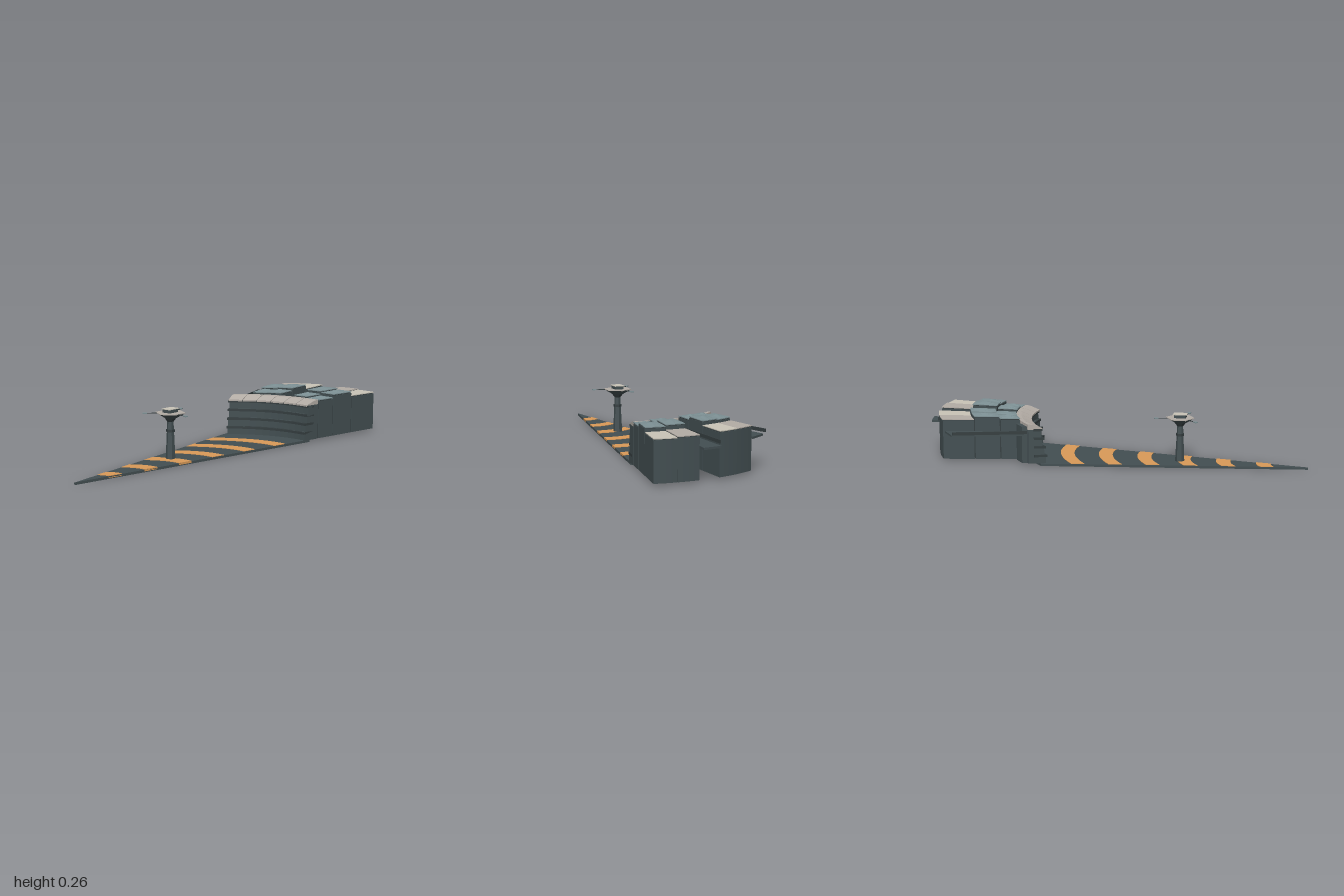
import * as THREE from 'three';

const CX = -0.55, CZ = 0.285;      // focus of the building rays
const APEX = -1, RATIO = 0.555;    // tip of the floor wedge, ellipse ratio of its stripes
const rad = THREE.MathUtils.degToRad;

const paint = (color) => new THREE.MeshStandardMaterial({ color, flatShading: true, side: THREE.DoubleSide });
const MAT = {
  dark: paint(0x434f52), trim: paint(0x353e40), orange: paint(0xd99a58),
  beige: paint(0xc9c4b7), stone: paint(0xb3aca5), slate: paint(0x7c8f93),
};

// Point on the flattened arc of nominal radius r at angle p (degrees)
function polar(r, p) {
  const a = rad(p), q = r * (1 - 0.49 * a * a);
  return [CX + q * Math.cos(a), CZ - q * Math.sin(a)];
}

function add(parent, name, geometry, material) {
  const m = new THREE.Mesh(geometry, material);
  m.name = name;
  parent.add(m);
  return m;
}

// Sweep a closed (radius, height) profile from angle p0 to p1.
// Anything above the eave height rises to a peak in mid sweep.
function sweep(profile, p0, p1, eave = Infinity, steps = 4) {
  const shape = new THREE.Shape(profile.map(([r, y]) => new THREE.Vector2(r, y)));
  const g = new THREE.ExtrudeGeometry(shape, { depth: 1, steps, bevelEnabled: false });
  const pos = g.attributes.position;
  for (let i = 0; i < pos.count; i++) {
    const s = pos.getZ(i);
    let y = pos.getY(i);
    if (y > eave) y = eave + (y - eave) * (1 - Math.abs(2 * s - 1));
    const [x, z] = polar(pos.getX(i), p1 + (p0 - p1) * s);
    pos.setXYZ(i, x, y, z);
  }
  g.computeVertexNormals();
  return g;
}

const rect = (r0, r1, y0, y1) => [[r0, y0], [r1, y0], [r1, y1], [r0, y1]];

// Flat plate from plan points [x, z], between two heights
function plate(points, y0, y1) {
  const shape = new THREE.Shape(points.map(([x, z]) => new THREE.Vector2(x, -z)));
  const g = new THREE.ExtrudeGeometry(shape, { depth: y1 - y0, bevelEnabled: false });
  return g.rotateX(-Math.PI / 2).translate(0, y0, 0);
}

function buildFloor(root) {
  const outline = [[APEX, CZ]];
  for (let i = 0; i <= 16; i++) outline.push(polar(1.03, 26.3 * i / 16));
  add(root, 'floor', plate(outline, 0, 0.012), MAT.dark);

  // Curved stripes across the wedge
  const tMax = Math.atan(0.315 / RATIO);
  const arc = (a, k) => {
    const t = tMax * k / 12;
    return [APEX + a * Math.cos(t), CZ - RATIO * a * Math.sin(t)];
  };
  for (let n = 0; n < 6; n++) {
    const a = 0.265 + 0.208 * n, pts = [];
    for (let k = 0; k <= 12; k++) pts.push(arc(a, k));
    for (let k = 12; k >= 0; k--) pts.push(arc(a - 0.075, k));
    add(root, 'floorStripe', plate(pts, 0.004, 0.0145), MAT.orange);
  }
}

function buildTerrace(root) {
  const g = new THREE.Group();
  g.name = 'innerTerrace';
  root.add(g);
  // Stepped wall leaning away from the floor, with a ledge over each tier
  for (let i = 0; i < 4; i++) {
    const r = 0.985 + 0.009 * i, y = 0.01 + 0.045 * i;
    add(g, 'tierWall', sweep(rect(r + 0.008, 1.09, y, y + 0.045), 0, 25.4, Infinity, 12), MAT.dark);
    add(g, 'tierLedge', sweep(rect(r, 1.06, y + 0.033, y + 0.045), 0, 25.6, Infinity, 12), MAT.trim);
  }
  // Sloping hood panels, one for each bay
  for (let i = 0; i < 6; i++) {
    const p = 0.1 + 4.26 * i;
    add(g, 'hoodPanel', sweep([[1.01, 0.185], [1.092, 0.185], [1.092, 0.213], [1.065, 0.211], [1.01, 0.193]],
      p, p + 4.06), MAT.stone);
  }
}

function buildBlocks(root) {
  // Rows from the inside out: radii, height, roof peak and roof colour
  const rows = [
    { r0: 1.095, r1: 1.2, h: [0.213, 0.222, 0.226, 0.224], peak: 0.012, roof: MAT.slate },
    { r0: 1.206, r1: 1.34, h: [0.23, 0.237, 0.239, 0.235], peak: 0.009, roof: MAT.slate },
    { r0: 1.346, r1: 1.515, h: [0.209, 0.214, 0.219, 0.219], peak: 0, roof: MAT.beige },
  ];
  const starts = [0, 4.1, 12.2, 16.2];
  starts.forEach((p0, i) => {
    const g = new THREE.Group();
    g.name = 'buildingBay';
    root.add(g);
    const p1 = p0 + 4.05;
    for (const { r0, r1, h, peak, roof } of rows) {
      const y = h[i], mid = (r0 + r1) / 2;
      add(g, 'blockWall', sweep(rect(r0, r1, 0.011, y - 0.008), p0, p1), MAT.dark);
      add(g, 'blockCornice', sweep(rect(r0 + 0.004, r1 - 0.004, y - 0.008, y - 0.004), p0 + 0.1, p1 - 0.1), MAT.trim);
      const top = rect(r0 - 0.001, r1 + 0.002, y - 0.004, y);
      if (peak) top.splice(3, 0, [mid, y + peak]);
      const inner = i % 2 && !peak ? MAT.stone : roof;
      add(g, 'blockRoof', sweep(top, p0, p1, y), inner);
    }
    // Narrow filler between the rows
    add(g, 'rowJoint', sweep(rect(1.09, 1.35, 0.012, 0.195), p0 + 0.15, p1 - 0.15), MAT.trim);
  });
}

function buildWalkways(root) {
  // Each open gap carries a projecting deck with a thin rail on its far side
  const gaps = [[8.2, 11.6, 12.1, 1.56, 1.525], [21.0, 24.8, 25.7, 1.51, 1.515]];
  for (const [p0, p1, pRail, rDeck, rRail] of gaps) {
    const g = new THREE.Group();
    g.name = 'walkway';
    root.add(g);
    add(g, 'deck', sweep(rect(1.09, rDeck, 0.152, 0.162), p0, p1, Infinity, 1), MAT.dark);
    add(g, 'rail', sweep(rect(1.1, rRail, 0.165, 0.181), pRail - 0.12, pRail + 0.12, Infinity, 1), MAT.trim);
    add(g, 'gapBackWall', sweep(rect(1.08, 1.12, 0.011, 0.2), p0, p1), MAT.dark);
  }
}

function buildTower(root) {
  const g = new THREE.Group();
  g.name = 'tower';
  g.position.set(-0.36, 0, 0.18);
  g.rotation.y = 0.17;
  root.add(g);
  const drum = (name, rt, rb, y0, y1, mat) =>
    add(g, name, new THREE.CylinderGeometry(rt, rb, y1 - y0, 6).rotateY(Math.PI / 6).translate(0, (y0 + y1) / 2, 0), mat);
  drum('mast', 0.015, 0.024, 0.01, 0.2, MAT.dark);
  drum('mastCollar', 0.021, 0.021, 0.145, 0.157, MAT.trim);
  drum('mastHead', 0.028, 0.016, 0.195, 0.211, MAT.trim);
  drum('dishUnderside', 0.07, 0.028, 0.211, 0.235, MAT.dark);
  drum('dishTop', 0.073, 0.073, 0.235, 0.239, MAT.stone);
  add(g, 'cabin', new THREE.BoxGeometry(0.06, 0.017, 0.045).translate(0, 0.247, 0), MAT.dark);
  add(g, 'cabinRoof', new THREE.BoxGeometry(0.07, 0.003, 0.053).translate(0, 0.2565, 0), MAT.beige);
  // Three thin arms with a small lamp at each end
  for (const angle of [-94, 26, 146]) {
    const arm = new THREE.Group();
    arm.name = 'lampArm';
    arm.rotation.y = rad(angle - 10);
    g.add(arm);
    add(arm, 'armRod', new THREE.BoxGeometry(0.06, 0.003, 0.004).translate(0.095, 0.2365, 0), MAT.trim);
    add(arm, 'lamp', new THREE.BoxGeometry(0.022, 0.005, 0.015).translate(0.122, 0.237, 0), MAT.slate);
  }
}

export function createModel() {
  const root = new THREE.Group();
  root.name = 'arenaSegment';
  buildFloor(root);
  buildTerrace(root);
  buildBlocks(root);
  buildWalkways(root);
  buildTower(root);
  return root;
}
